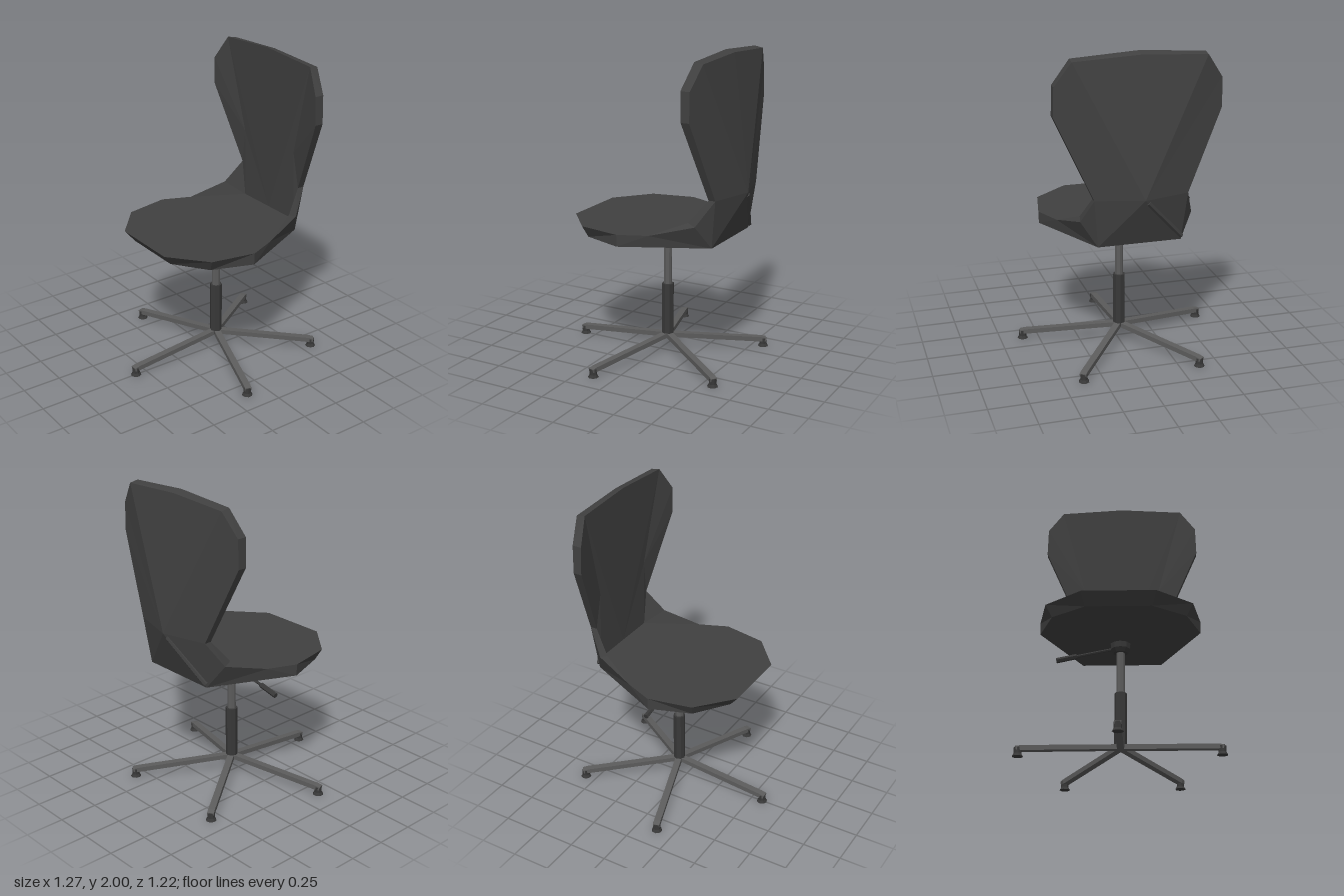
import * as THREE from 'three';

const shellMat = new THREE.MeshStandardMaterial({ color: 0x404040, flatShading: true, side: THREE.DoubleSide });
const metalMat = new THREE.MeshStandardMaterial({ color: 0x5c5c5c, flatShading: true });
const darkMat = new THREE.MeshStandardMaterial({ color: 0x383838, flatShading: true });

const AXIS_Z = -0.06; // the column stands slightly behind the centre

function addMesh(parent, name, geometry, material) {
  const mesh = new THREE.Mesh(geometry, material);
  mesh.name = name;
  parent.add(mesh);
  return mesh;
}

// Corner points of the left half (+x) of the shell
const P = {
  // seat underside
  C: [0, 0.79, AXIS_Z], bf0: [0, 0.835, 0.43], bf: [0.2, 0.835, 0.43], b1: [0.41, 0.835, 0.28],
  b2: [0.503, 0.835, 0.02], b3: [0.26, 0.835, -0.5], bb0: [0, 0.835, -0.5],
  // seat top
  f0: [0, 0.91, 0.49], f: [0.225, 0.91, 0.49], s1: [0.45, 0.91, 0.3], s2: [0.505, 0.91, 0.02],
  A: [0.255, 0.91, -0.49], A0: [0, 0.91, -0.49],
  // front edge of the rim, from seat to top
  r0: [0.43, 0.91, -0.16], r1: [0.34, 1.0, -0.38], r2: [0.29, 1.14, -0.49], r3: [0.515, 1.64, -0.42],
  r4: [0.51, 1.82, -0.415], r5: [0.41, 1.975, -0.45], r6: [0, 2, -0.45],
  // rear edge of the rim
  o1: [0.35, 0.98, -0.43], o2: [0.29, 1.14, -0.535], o3: [0.515, 1.64, -0.475],
  o4: [0.51, 1.82, -0.475], o5: [0.41, 1.965, -0.507], o6: [0, 1.985, -0.507],
  // crease in the front of the back, and the rear ridge
  M: [0.25, 1.37, -0.478], R: [0, 1.14, -0.615],
};

// Polygons of one half; each is split into a fan and mirrored
function mirroredFaces(polygons) {
  const pos = [];
  for (const polygon of polygons) {
    const pts = polygon.split(' ').map((key) => P[key]);
    for (let i = 1; i < pts.length - 1; i++) {
      const tri = [pts[0], pts[i], pts[i + 1]];
      for (const p of tri) pos.push(...p);
      for (const [x, y, z] of tri.reverse()) pos.push(-x, y, z);
    }
  }
  const g = new THREE.BufferGeometry();
  g.setAttribute('position', new THREE.Float32BufferAttribute(pos, 3));
  g.computeVertexNormals();
  return g;
}

// Cylinder between two points
function rod(parent, name, a, b, r, sides, material) {
  const from = new THREE.Vector3(...a), to = new THREE.Vector3(...b);
  const dir = to.clone().sub(from);
  const mesh = addMesh(parent, name, new THREE.CylinderGeometry(r, r, dir.length(), sides), material);
  mesh.position.copy(from).add(to).multiplyScalar(0.5);
  mesh.quaternion.setFromUnitVectors(new THREE.Vector3(0, 1, 0), dir.normalize());
  return mesh;
}

function createShell() {
  const shell = new THREE.Group();
  shell.name = 'shell';
  addMesh(shell, 'seat', mirroredFaces([
    'f0 f s1 s2 A A0',
    'f f0 bf0 bf', 's1 f bf b1', 's2 s1 b1 b2',
    'bf bf0 C', 'b1 bf C', 'b2 b1 C', 'b3 b2 C', 'bb0 b3 C',
  ]), shellMat);
  addMesh(shell, 'sideWings', mirroredFaces([
    's2 r0 A', 'A r0 r1', 'A r1 r2',
    'r0 s2 b2', 'r0 b2 b3 o1', 'r1 r0 o1', 'r2 r1 o1 o2', 'o1 b3 o2',
  ]), shellMat);
  addMesh(shell, 'backrest', mirroredFaces([
    'A0 A M r5 r6', 'A r2 M', 'M r2 r3', 'M r3 r4', 'M r4 r5',
    'r3 r2 o2 o3', 'r4 r3 o3 o4', 'r5 r4 o4 o5', 'r6 r5 o5 o6',
    'o3 o2 R', 'o4 o3 R', 'o5 o4 R', 'o6 o5 R', 'o2 b3 R', 'R b3 bb0',
  ]), shellMat);
  // slanting bar on the rear
  rod(shell, 'rearBar', [-0.26, 0.86, -0.505], [-0.02, 1.12, -0.598], 0.017, 6, shellMat);
  return shell;
}

function createColumn() {
  const column = new THREE.Group();
  column.name = 'column';
  const profile = [[0, 0.735], [0.045, 0.735], [0.062, 0.76], [0.066, 0.8], [0, 0.8]];
  addMesh(column, 'seatMount',
    new THREE.LatheGeometry(profile.map(([x, y]) => new THREE.Vector2(x, y)), 10), darkMat);
  rod(column, 'gasLift', [0, 0.45, 0], [0, 0.75, 0], 0.027, 8, metalMat);
  rod(column, 'outerTube', [0, 0.105, 0], [0, 0.465, 0], 0.039, 8, darkMat);
  rod(column, 'leverRod', [-0.03, 0.768, 0], [-0.28, 0.717, 0], 0.009, 6, darkMat);
  rod(column, 'leverGrip', [-0.275, 0.718, 0], [-0.405, 0.69, 0], 0.017, 6, darkMat);
  return column;
}

function createLeg() {
  const leg = new THREE.Group();
  leg.name = 'leg';
  // sloping arm: side profile (distance, height) extruded across its width
  const side = new THREE.Shape([[0, 0.1], [0.61, 0.036], [0.65, 0.036], [0.655, 0.058], [0.62, 0.066], [0, 0.13]]
    .map(([x, y]) => new THREE.Vector2(x, y)));
  const arm = new THREE.ExtrudeGeometry(side, { depth: 0.042, bevelEnabled: false });
  arm.translate(0, 0, -0.021);
  arm.rotateY(-Math.PI / 2);
  addMesh(leg, 'arm', arm, metalMat);
  rod(leg, 'footStem', [0, 0.01, 0.635], [0, 0.055, 0.635], 0.024, 8, darkMat);
  const pad = addMesh(leg, 'footPad', new THREE.CylinderGeometry(0.024, 0.034, 0.018, 8), darkMat);
  pad.position.set(0, 0.009, 0.635);
  return leg;
}

export function createModel() {
  const model = new THREE.Group();
  model.name = 'swivelChair';
  model.add(createShell());

  const base = new THREE.Group();
  base.name = 'base';
  base.position.z = AXIS_Z;
  base.add(createColumn());
  // five legs, one pointing straight to the front
  for (let i = 0; i < 5; i++) {
    const leg = createLeg();
    leg.rotation.y = (i * 2 * Math.PI) / 5;
    base.add(leg);
  }
  model.add(base);
  return model;
}
